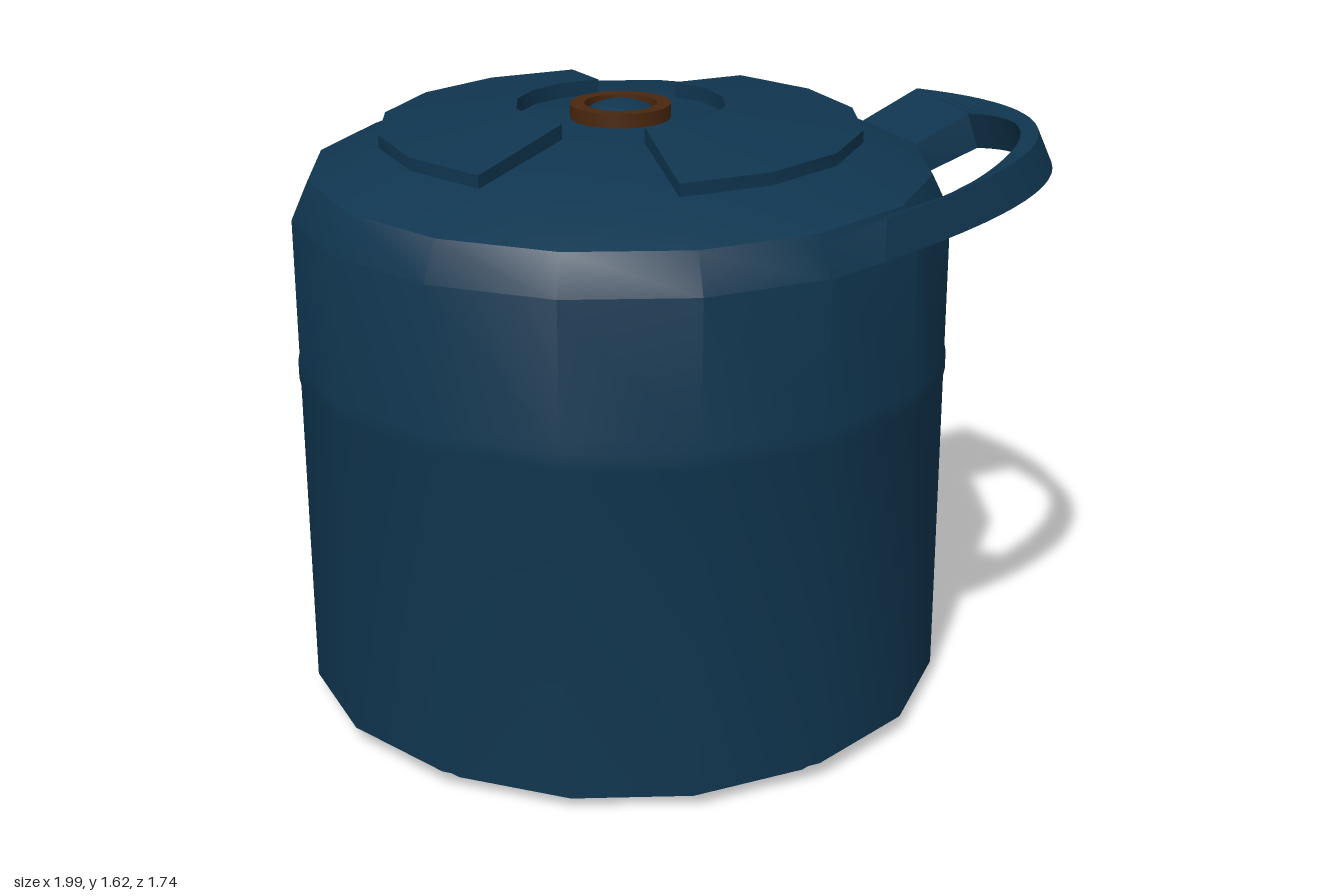
import * as THREE from 'three';
import { toCreasedNormals } from 'three/addons/utils/BufferGeometryUtils.js';

const CX = -0.13; // axis of the round body

// Lathe around the body axis, profile runs bottom to top on the outside
function lathe(points, segments, crease) {
  const g = new THREE.LatheGeometry(points.map(([r, y]) => new THREE.Vector2(r, y)), segments);
  return toCreasedNormals(g, crease);
}

// Capped skin over four-cornered sections: outer bottom, outer top, inner top, inner bottom
function loft(sections, crease) {
  const index = [];
  const last = (sections.length - 1) * 4;
  for (let i = 0; i < last; i += 4) {
    for (let j = 0; j < 4; j++) {
      const k = (j + 1) % 4;
      index.push(i + j, i + 4 + j, i + k, i + 4 + j, i + 4 + k, i + k);
    }
  }
  index.push(0, 1, 2, 0, 2, 3, last, last + 2, last + 1, last, last + 3, last + 2);
  const g = new THREE.BufferGeometry();
  g.setAttribute('position', new THREE.Float32BufferAttribute(sections.flat(2), 3));
  g.setIndex(index);
  return toCreasedNormals(g, crease);
}

export function createModel() {
  const model = new THREE.Group();
  const blue = new THREE.MeshStandardMaterial({ color: 0x103650 });
  blue.name = 'navy blue';
  const brown = new THREE.MeshStandardMaterial({ color: 0x4a270e });
  brown.name = 'dark copper';

  const add = (name, geometry, material, x = CX) => {
    const mesh = new THREE.Mesh(geometry, material);
    mesh.name = name;
    mesh.position.x = x;
    model.add(mesh);
    return mesh;
  };

  // Body with hollow underside, base step, shallow belt, chamfer and sloping lid
  add('body', lathe([
    [0, 0.25], [0.23, 0.25], [0.23, 0.22], [0.77, 0], [0.798, 0], [0.798, 0.05],
    [0.866, 0.05], [0.866, 0.9], [0.87, 0.92], [0.87, 0.97], [0.866, 0.99],
    [0.866, 1.35], [0.817, 1.45], [0.635, 1.527], [0.275, 1.57], [0, 1.575],
  ], 16, 0.56), blue);

  // Two raised lid plates, each six facets wide
  for (const [name, start] of [['leftLidPlate', 1], ['rightLidPlate', 9]]) {
    const sections = [];
    for (let i = 0; i <= 6; i++) {
      const a = (start + i) * Math.PI / 8;
      sections.push([[0.635, 1.52], [0.635, 1.56], [0.275, 1.61], [0.275, 1.56]]
        .map(([r, y]) => [r * Math.sin(a), y, r * Math.cos(a)]));
    }
    add(name, loft(sections, 0.45), blue);
  }

  // Centre ring and button
  add('centreRing', lathe([
    [0.095, 1.565], [0.132, 1.565], [0.132, 1.61], [0.095, 1.61], [0.095, 1.565],
  ], 32, 0.5), brown);
  const button = add('centreButton',
    new THREE.SphereGeometry(0.097, 32, 8, 0, Math.PI * 2, 0, Math.PI / 2), blue);
  button.scale.y = 0.46;
  button.position.y = 1.573;

  // Carrying handle: a bowed bar that ends in two sloping arms set into the body
  const arm = (s) => [[0.48, 1.35, 0.62 * s], [0.45, 1.43, 0.6 * s],
    [0.6, 1.43, 0.31 * s], [0.63, 1.35, 0.33 * s]];
  const bar = (t) => [
    [0.99, 0.8, 1.48, 0.12, 0.69], // x, x bow, y, y bow, z reach
    [0.95, 0.76, 1.57, 0.11, 0.67],
    [0.905, 0.9, 1.565, 0.3, 0.4],
    [0.935, 0.9, 1.475, 0.33, 0.4],
  ].map(([x, bx, y, by, reach]) => {
    const z = reach * t;
    return [x - bx * z * z, y - by * z * z, z];
  });
  const sections = [arm(1)];
  for (let i = 0; i <= 24; i++) sections.push(bar(1 - i / 12));
  sections.push(arm(-1));
  add('handle', loft(sections, 0.4), blue, 0);

  return model;
}
